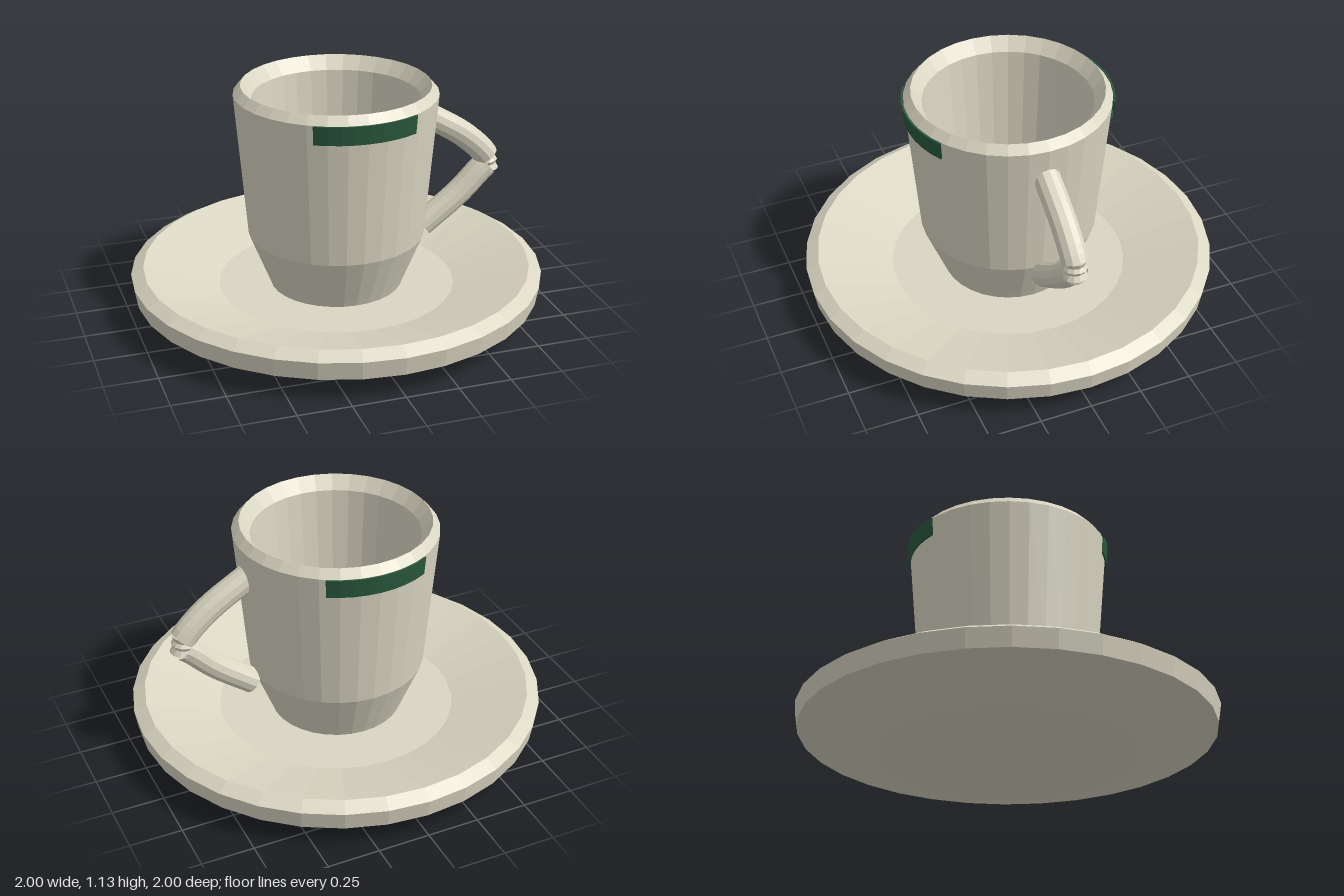
import * as THREE from 'three';

const SEGMENTS = 32;

export function createModel() {
  const cream = new THREE.MeshStandardMaterial({ color: 0xdad6c3 });
  cream.name = 'cream ceramic';
  cream.flatShading = true;
  const green = new THREE.MeshStandardMaterial({ color: 0x2a593d });
  green.name = 'green glaze';
  green.flatShading = true;

  const model = new THREE.Group();
  model.name = 'cupAndSaucer';

  const add = (name, geometry, material) => {
    const mesh = new THREE.Mesh(geometry, material);
    mesh.name = name;
    model.add(mesh);
    return mesh;
  };
  const lathe = (points, segments = SEGMENTS, start = 0, length = Math.PI * 2) =>
    new THREE.LatheGeometry(points.map(([r, y]) => new THREE.Vector2(r, y)), segments, start, length);

  // Saucer: flat foot, flared underside, bevelled rim and sunken middle
  add('saucer', lathe([
    [0, 0], [0.61, 0], [0.985, 0.105], [1, 0.195], [0.94, 0.23], [0.575, 0.12], [0, 0.12],
  ]), cream);

  // Cup: outer wall, bevelled rim, inner wall and sloping floor
  add('cup', lathe([
    [0, 0.121], [0.32, 0.121], [0.335, 0.16], [0.425, 0.385], [0.485, 1.09], [0.45, 1.13],
    [0.4, 1.065], [0.345, 0.39], [0, 0.27],
  ]), cream);

  // Curved glaze patches below the rim, front and back
  const patch = [[0.479, 1.0], [0.487, 1.0], [0.495, 1.09], [0.486, 1.09], [0.479, 1.0]];
  for (const [name, middle] of [['frontStripe', 0], ['backStripe', Math.PI]]) {
    add(name, lathe(patch, 8, middle - Math.PI / 6, Math.PI / 3), green).material.side = THREE.DoubleSide;
  }

  // Handle: two curved arms meeting at a pinched joint
  const arms = {
    upperHandle: [[0.42, 0.945], [0.635, 0.814], [0.745, 0.718], [0.777, 0.677]],
    lowerHandle: [[0.777, 0.633], [0.745, 0.606], [0.635, 0.497], [0.443, 0.35]],
  };
  for (const [name, points] of Object.entries(arms)) {
    const path = new THREE.CatmullRomCurve3(points.map(([x, y]) => new THREE.Vector3(x, y, 0)));
    add(name, new THREE.TubeGeometry(path, 12, 0.0625, 12, false), cream);
  }
  cream.side = THREE.DoubleSide;

  // Ridged joint between the arms
  const joint = add('handleJoint', lathe([
    [0, -0.045], [0.06, -0.045], [0.047, -0.018], [0.058, 0], [0.047, 0.018], [0.06, 0.045], [0, 0.045],
  ], 12), cream);
  joint.position.set(0.775, 0.655, 0);
  joint.rotation.z = 0.12;

  return model;
}
